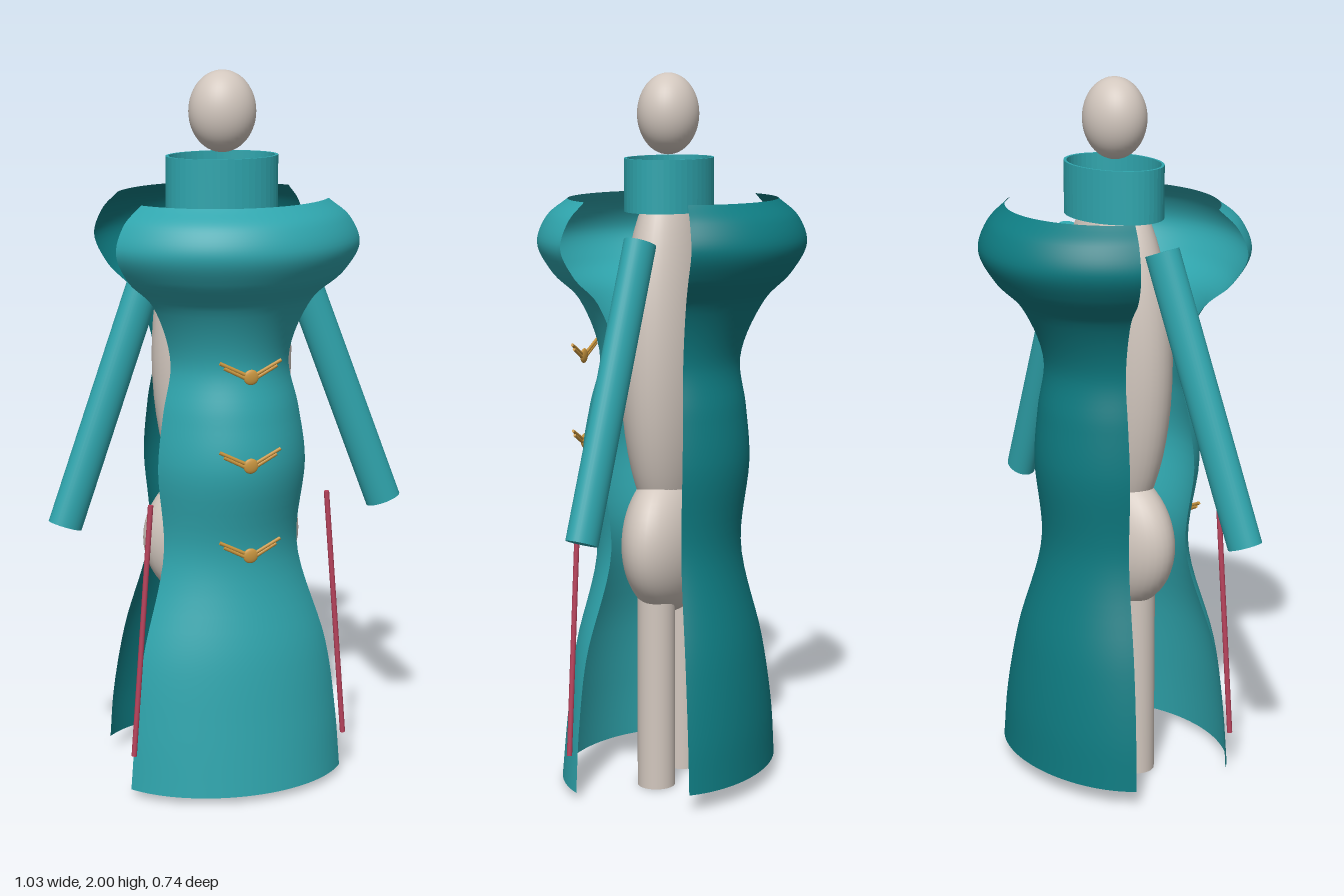
import * as THREE from 'three';

const mat = (name, color, extra = {}) => {
  const m = new THREE.MeshStandardMaterial({ color, ...extra });
  m.name = name;
  return m;
};

export function createModel() {
  const model = new THREE.Group();
  model.name = 'robedMannequin';
  const teal = mat('teal', 0x2fa5ad, { side: THREE.DoubleSide });
  const darkTeal = mat('dark teal', 0x0e7b81, { side: THREE.DoubleSide });
  const beige = mat('beige', 0xd2c7be);
  const gold = mat('gold', 0xc8953f);
  const red = mat('red', 0xb8435c);
  const Z = 0.011; // body axis

  const add = (parent, name, geo, material, x = 0, y = 0, z = 0) => {
    const mesh = new THREE.Mesh(geo, material);
    mesh.name = name;
    mesh.position.set(x, y, z);
    parent.add(mesh);
    return mesh;
  };
  const ellipsoid = (parent, name, material, r, p) =>
    add(parent, name, new THREE.SphereGeometry(1, 40, 28).scale(...r), material, ...p);
  // Cylinder between two points, optionally squashed across z
  const rod = (parent, name, material, from, to, r, flat = 1, sides = 24) => {
    const a = new THREE.Vector3(...from), b = new THREE.Vector3(...to);
    const d = b.clone().sub(a);
    const geo = new THREE.CylinderGeometry(r, r, d.length(), sides).scale(1, 1, flat);
    const mesh = add(parent, name, geo, material);
    mesh.position.copy(a).add(b).multiplyScalar(0.5);
    mesh.quaternion.setFromUnitVectors(new THREE.Vector3(0, 1, 0), d.normalize());
    return mesh;
  };

  // Body
  ellipsoid(model, 'head', beige, [0.093, 0.111, 0.084], [0, 1.889, Z + 0.003]);
  ellipsoid(model, 'torso', beige, [0.2, 0.5, 0.122], [0, 1.22, Z]);
  ellipsoid(model, 'pelvis', beige, [0.228, 0.21, 0.115], [0, 0.7, Z - 0.005]);

  // Standing collar: an oval ring with a thin wall
  const ring = [[0.148, 0], [0.157, 0], [0.157, 0.145], [0.148, 0.145], [0.148, 0]];
  const collarGeo = new THREE.LatheGeometry(ring.map(p => new THREE.Vector2(...p)), 48)
    .scale(1, 1, 0.745).toNonIndexed();
  collarGeo.computeVertexNormals();
  add(model, 'collar', collarGeo, teal, 0, 1.625, Z);

  // Gown panels: rows of [height, half width, middle depth, edge depth]
  const panel = (name, rows, material) => {
    const shape = new THREE.CatmullRomCurve3(rows.map(r => new THREE.Vector3(r[1], r[0], r[2])));
    const edge = new THREE.CatmullRomCurve3(rows.map(r => new THREE.Vector3(r[1], r[0], r[3])));
    const M = Math.PI / 3;
    const geo = new THREE.PlaneGeometry(1, 1, 40, 72);
    const pos = geo.attributes.position;
    for (let i = 0; i < pos.count; i++) {
      const t = pos.getY(i) + 0.5, th = pos.getX(i) * 2 * M;
      const c = shape.getPoint(t), e = edge.getPoint(t);
      const k = (Math.cos(th) - Math.cos(M)) / (1 - Math.cos(M));
      pos.setXYZ(i, c.x * Math.sin(th) / Math.sin(M), c.y, e.z + (c.z - e.z) * k);
    }
    geo.computeVertexNormals();
    return add(model, name, geo, material, -0.003);
  };
  panel('frontPanel', [
    [0.02, 0.31, 0.306, 0.163], [0.2, 0.295, 0.288, 0.16], [0.4, 0.268, 0.265, 0.148],
    [0.68, 0.195, 0.213, 0.105], [0.93, 0.213, 0.258, 0.117], [1.08, 0.195, 0.237, 0.108],
    [1.22, 0.17, 0.208, 0.096], [1.38, 0.225, 0.262, 0.125], [1.46, 0.305, 0.335, 0.16],
    [1.54, 0.342, 0.373, 0.182], [1.61, 0.318, 0.348, 0.17], [1.66, 0.263, 0.288, 0.148],
  ], teal);
  panel('backPanel', [
    [0.05, 0.285, 0.277, 0.168], [0.2, 0.275, 0.27, 0.16], [0.4, 0.245, 0.245, 0.14],
    [0.68, 0.18, 0.188, 0.1], [0.93, 0.192, 0.213, 0.108], [1.08, 0.18, 0.202, 0.105],
    [1.22, 0.163, 0.186, 0.098], [1.38, 0.21, 0.255, 0.125], [1.46, 0.278, 0.33, 0.16],
    [1.54, 0.31, 0.371, 0.182], [1.61, 0.29, 0.348, 0.17], [1.66, 0.25, 0.29, 0.147],
  ], darkTeal).rotation.y = Math.PI;

  // Paired parts
  for (const [side, s] of [['left', 1], ['right', -1]]) {
    rod(model, side + 'Sleeve', teal, [s * 0.182, 1.55, 0.019], [s * 0.467, 0.776, 0.064], 0.05, 0.8, 32);
    rod(model, side + 'Leg', beige, [s * 0.095, 0, Z], [s * 0.095, 0.6, Z], 0.053, 1, 32);
    rod(model, side + 'SidePiping', red, [s * 0.254, 0.845, 0.175], [s * 0.309, 0.127, 0.182], 0.0075, 1, 12);
  }

  // Knotted clasps down the front, each with two looped wings
  for (const y of [1.205, 0.96, 0.708]) {
    const clasp = new THREE.Group();
    clasp.name = 'clasp';
    clasp.position.set(0, y, 0.274);
    ellipsoid(clasp, 'knot', gold, [0.021, 0.021, 0.007], [0, 0, 0]);
    for (const s of [1, -1]) {
      rod(clasp, 'upperLoop', gold, [s * 0.008, 0.004, 0], [s * 0.086, 0.042, -0.005], 0.005, 0.8, 8);
      rod(clasp, 'lowerLoop', gold, [s * 0.012, -0.004, 0], [s * 0.074, 0.028, -0.004], 0.005, 0.8, 8);
    }
    model.add(clasp);
  }
  return model;
}
